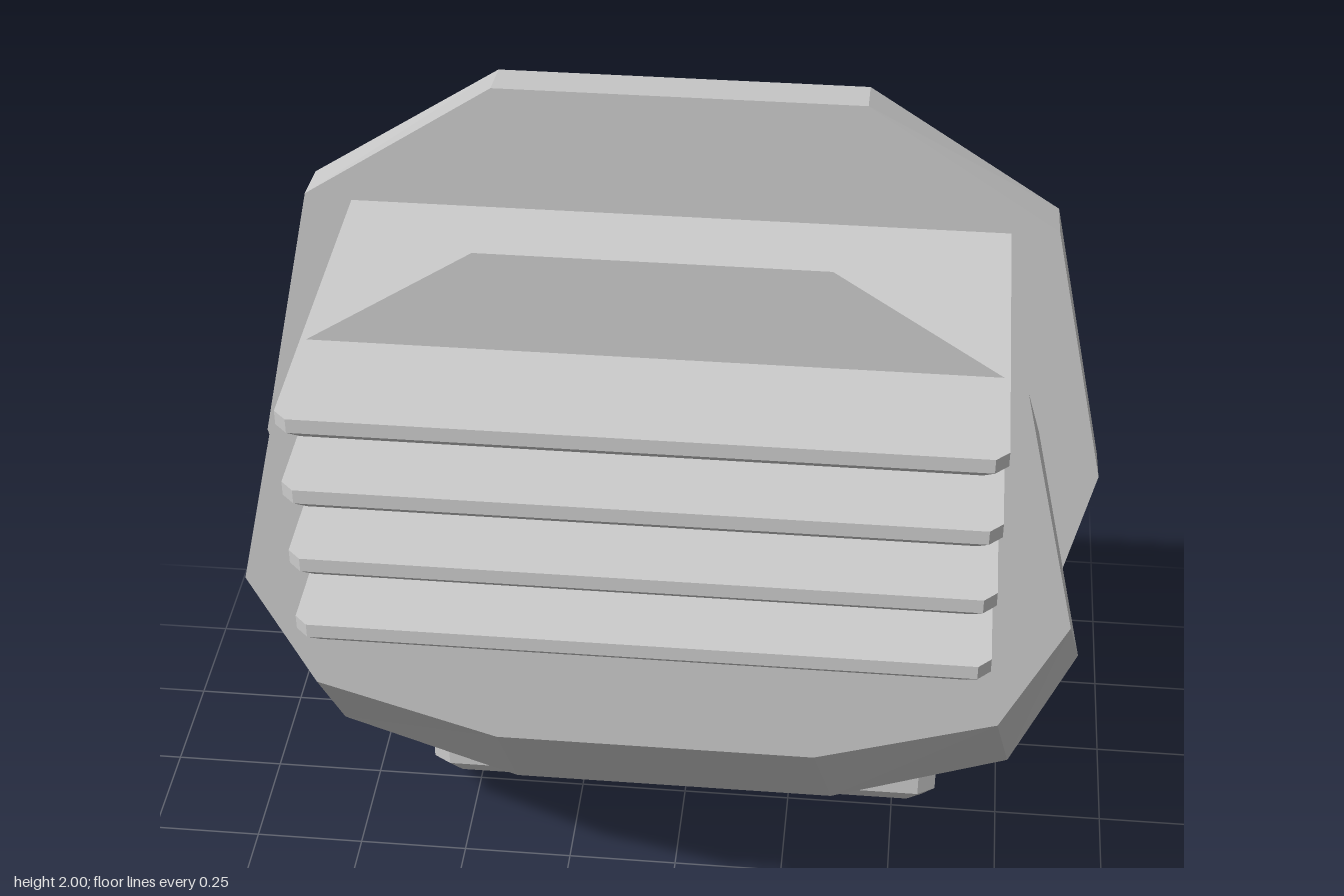
import * as THREE from 'three';

const grey = new THREE.MeshStandardMaterial({ color: 0xcccccc, flatShading: true });

// Closed solid through rings of points; each ring runs counter-clockwise seen from the last ring's side
function loft(name, rings) {
  const pos = [];
  const tri = (a, b, c) => pos.push(...a, ...b, ...c);
  const n = rings[0].length;
  for (let i = 0; i < rings.length - 1; i++) {
    for (let j = 0; j < n; j++) {
      const k = (j + 1) % n;
      const [a, b, c, d] = [rings[i][j], rings[i][k], rings[i + 1][k], rings[i + 1][j]];
      tri(a, b, c);
      tri(a, c, d);
    }
  }
  const first = rings[0], last = rings[rings.length - 1];
  for (let j = 1; j < n - 1; j++) {
    tri(first[0], first[j + 1], first[j]);
    tri(last[0], last[j], last[j + 1]);
  }
  const geo = new THREE.BufferGeometry();
  geo.setAttribute('position', new THREE.Float32BufferAttribute(pos, 3));
  geo.computeVertexNormals();
  const mesh = new THREE.Mesh(geo, grey);
  mesh.name = name;
  return mesh;
}

// Full ring facing +z from a right-hand half, listed top to bottom
const mirrorRing = (half) => [
  ...half.map(([x, y, z]) => [-x, y, z]),
  ...[...half].reverse(),
];

// Ten-sided ring at one depth
const decagon = (xs, ys, z) =>
  mirrorRing(ys.map((y, i) => [xs[i], y, z]));

// Horizontal rectangle with cut corners, facing +y
function cutRect(y, w, d, cx, cz) {
  const a = w / 2, b = d / 2;
  return [
    [a, b - cz], [a - cx, b], [cx - a, b], [-a, b - cz],
    [-a, cz - b], [cx - a, -b], [a - cx, -b], [a, cz - b],
  ].map(([x, u]) => [x, y, -u]);
}

export function createModel() {
  const model = new THREE.Group();

  // Faceted body, leaning up toward the front
  model.add(loft('body', [
    decagon([0.28, 0.59, 0.69, 0.59, 0.28], [1.46, 1.26, 0.80, 0.53, 0.42], -0.36),
    decagon([0.36, 0.75, 0.88, 0.75, 0.36], [1.59, 1.33, 0.745, 0.43, 0.285], 0.04),
    decagon([0.33, 0.70, 0.825, 0.70, 0.33], [1.94, 1.70, 1.145, 0.88, 0.76], 0.44),
  ]));

  // Flat collar around the body
  const collarX = [0.37, 0.76, 0.89, 0.76, 0.37];
  model.add(loft('collar', [
    decagon(collarX, [1.985, 1.73, 1.13, 0.53, 0.29], -0.175),
    decagon(collarX, [2.0, 1.74, 1.145, 0.55, 0.31], -0.07),
  ]));

  // Four horizontal fins running through the body
  for (let i = 0; i < 4; i++) {
    const fin = loft('fin', [
      cutRect(-0.05, 1.29, 0.78, 0.025, 0.025),
      cutRect(-0.03, 1.33, 0.82, 0.025, 0.025),
      cutRect(0, 1.33, 0.82, 0.025, 0.025),
    ]);
    fin.position.set(0, 1.73 - i * 0.16, 0.29);
    model.add(fin);
  }

  // Two pairs of chamfered pads, each with a flared nozzle pointing back and down
  for (const y of [0, 0.8]) {
    for (const side of [-1, 1]) {
      const unit = new THREE.Group();
      unit.name = y ? 'upperThruster' : 'lowerThruster';
      const pad = loft('pad', [
        cutRect(0.07, 0.28, 0.16, 0.035, 0.02),
        cutRect(0.11, 0.34, 0.21, 0.04, 0.025),
        cutRect(0.37, 0.34, 0.21, 0.04, 0.025),
        cutRect(0.41, 0.28, 0.16, 0.035, 0.02),
      ]);
      pad.position.z = -0.28;
      const nozzle = loft('nozzle', [
        mirrorRing([[0.113, 0.215, -0.70], [0.113, 0, -0.62]]),
        mirrorRing([[0.08, 0.285, -0.415], [0.08, 0.145, -0.36]]),
      ]);
      unit.add(pad, nozzle);
      unit.position.set(side * 0.43, y, 0);
      model.add(unit);
    }
  }

  return model;
}
